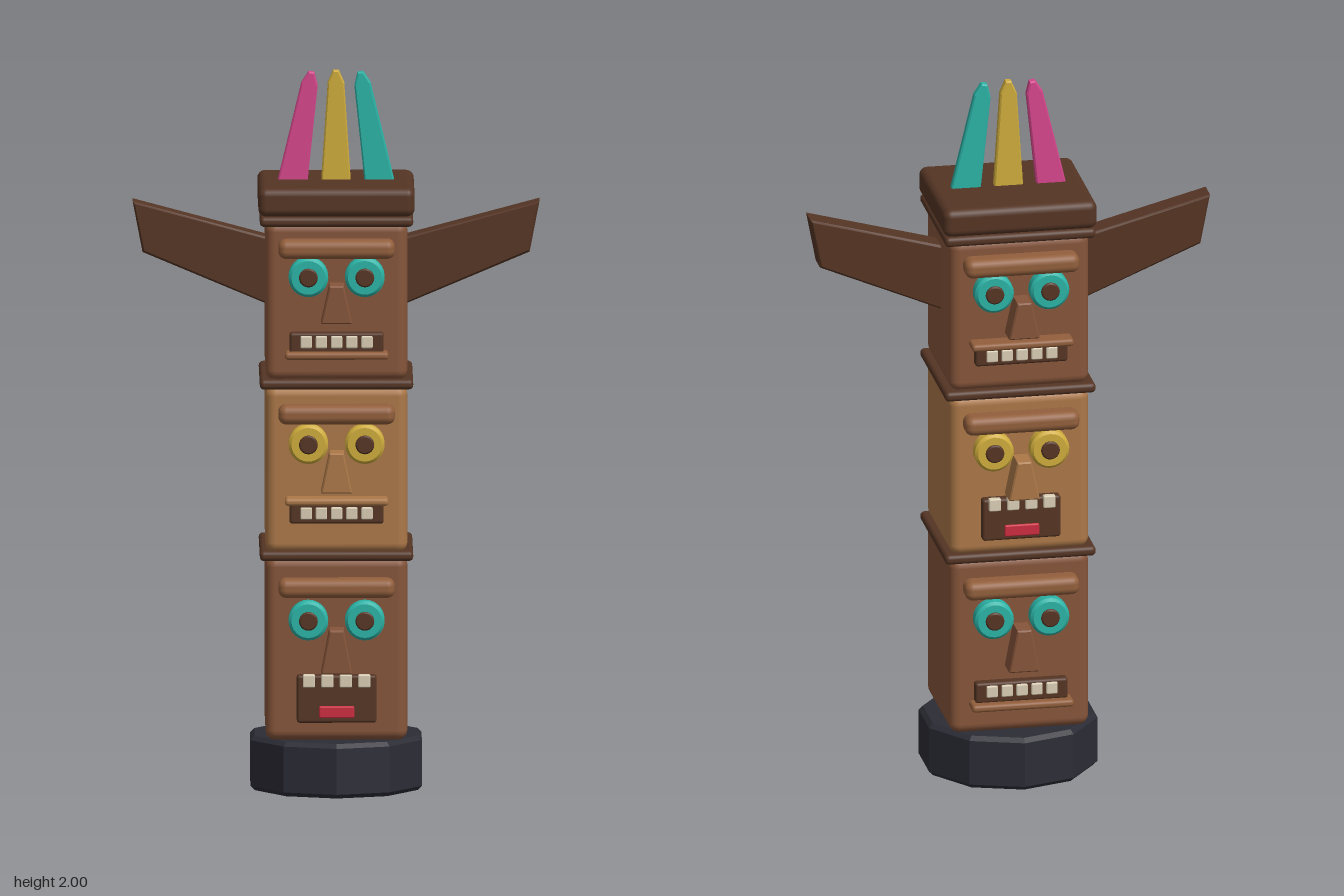
import * as THREE from 'three';
import { RoundedBoxGeometry } from 'three/addons/geometries/RoundedBoxGeometry.js';

const mat = (name, color) => {
  const m = new THREE.MeshStandardMaterial({ color });
  m.name = name;
  return m;
};

export function createModel() {
  const M = {
    wood: mat('brown wood', 0x86553a),
    light: mat('light wood', 0xac7848),
    brow: mat('brow wood', 0x925f3c),
    dark: mat('dark wood', 0x553524),
    stone: mat('dark stone', 0x2c2c36),
    teal: mat('teal', 0x2bb3a6),
    yellow: mat('yellow', 0xcfac3c),
    pink: mat('pink', 0xd6468c),
    ivory: mat('ivory', 0xd9cdb4),
    red: mat('red', 0xcc2c40),
  };
  const model = new THREE.Group();
  model.name = 'carvedPole';

  const add = (parent, name, geo, material, x = 0, y = 0, z = 0) => {
    const mesh = new THREE.Mesh(geo, material);
    mesh.name = name;
    mesh.position.set(x, y, z);
    parent.add(mesh);
    return mesh;
  };
  const rbox = (w, h, d, r) => new RoundedBoxGeometry(w, h, d, 3, r);

  // Outline extruded to the given thickness, centred on z, with a small bevel
  const plate = (points, thickness, bevel) => {
    const shape = new THREE.Shape(points.map(([x, y]) => new THREE.Vector2(x, y)));
    const geo = new THREE.ExtrudeGeometry(shape, {
      depth: thickness - 2 * bevel, bevelEnabled: true, bevelThickness: bevel,
      bevelSize: bevel, bevelOffset: -bevel, bevelSegments: 1,
    });
    return geo.translate(0, 0, bevel - thickness / 2);
  };

  // Disc with a bevelled rim, facing +z, back at z = 0
  const disc = (r, depth, bevel) => {
    const pts = [[r, 0], [r, depth - bevel], [r, depth - bevel], [r - bevel, depth], [r - bevel, depth], [0, depth]];
    return new THREE.LatheGeometry(pts.map(([x, y]) => new THREE.Vector2(x, y)), 24).rotateX(Math.PI / 2);
  };

  // Ten-sided stone base with bevelled rims
  const basePts = [[0, 0], [0.237, 0], [0.249, 0.012], [0.249, 0.14], [0.237, 0.152], [0, 0.152]];
  const baseGeo = new THREE.LatheGeometry(basePts.map(([x, y]) => new THREE.Vector2(x, y)), 10).toNonIndexed();
  baseGeo.computeVertexNormals();
  add(model, 'base', baseGeo, M.stone);

  // Three kinds of mouth, y measured from the block centre
  const teethRow = (g, n, step, w, h, y, z) => {
    for (let i = 0; i < n; i++) {
      add(g, 'tooth', rbox(w, h, 0.02, 0.004), M.ivory, (i - (n - 1) / 2) * step, y, z);
    }
  };
  const mouths = {
    lipBelow(g, h, lip) {
      add(g, 'mouth', rbox(0.26, 0.06, 0.05, 0.008), M.dark, 0, -0.255 * h, 0.18);
      teethRow(g, 5, 0.042, 0.032, 0.034, -0.245 * h, 0.202);
      add(g, 'lip', rbox(0.286, 0.021, 0.07, 0.009), lip, 0, -0.328 * h, 0.194);
    },
    lipAbove(g, h, lip) {
      add(g, 'mouth', rbox(0.26, 0.06, 0.05, 0.008), M.dark, 0, -0.25 * h, 0.18);
      teethRow(g, 5, 0.042, 0.032, 0.034, -0.25 * h, 0.202);
      add(g, 'lip', rbox(0.286, 0.021, 0.07, 0.009), lip, 0, -0.178 * h, 0.194);
    },
    open(g, h) {
      add(g, 'mouth', rbox(0.22, 0.26 * h, 0.05, 0.008), M.dark, 0, -0.265 * h, 0.18);
      teethRow(g, 4, 0.051, 0.034, 0.036, -0.165 * h, 0.205);
      add(g, 'tongue', rbox(0.098, 0.034, 0.02, 0.005), M.red, 0, -0.335 * h, 0.2);
    },
  };

  // One face, looking along +z
  const makeFace = (h, wood, eyeMat, mouth) => {
    const g = new THREE.Group();
    add(g, 'brow', rbox(0.322, 0.054, 0.07, 0.022), wood === M.light ? M.light : M.brow, 0, 0.34 * h, 0.195);
    if (wood === M.light) g.children[0].material = M.brow;
    for (const s of [-1, 1]) {
      add(g, 'eye', disc(0.055, 0.046, 0.008), eyeMat, s * 0.078, 0.163 * h, 0.17);
      add(g, 'pupil', disc(0.026, 0.054, 0.004), M.dark, s * 0.078, 0.163 * h, 0.17);
    }
    const top = 0.12 * h, bottom = -0.118 * h;
    add(g, 'nose', plate([[-0.043, bottom], [0.043, bottom], [0.02, top], [-0.02, top]], 0.09, 0.004),
      wood, 0, 0, 0.204);
    mouths[mouth](g, h, wood === M.light ? M.light : M.brow);
    return g;
  };

  // Stacked blocks, each with a front and a back face
  const blocks = [
    ['lower', 0.152, 0.665, M.wood, M.teal, 'open', 'lipBelow'],
    ['middle', 0.675, 1.142, M.light, M.yellow, 'lipAbove', 'open'],
    ['upper', 1.157, 1.6, M.wood, M.teal, 'lipBelow', 'lipAbove'],
  ];
  for (const [name, y0, y1, wood, eyeMat, frontMouth, backMouth] of blocks) {
    const h = y1 - y0;
    const block = new THREE.Group();
    block.name = name + 'Block';
    block.position.y = (y0 + y1) / 2;
    add(block, name + 'Body', rbox(0.392, h, 0.356, 0.028), wood);
    const front = makeFace(h, wood, eyeMat, frontMouth);
    front.name = name + 'FrontFace';
    const back = makeFace(h, wood, eyeMat, backMouth);
    back.name = name + 'BackFace';
    back.rotation.y = Math.PI;
    block.add(front, back);
    model.add(block);
  }

  // Thin bands between the blocks and the cap on top
  for (const y of [0.669, 1.148, 1.602]) {
    add(model, 'band', rbox(0.424, 0.028, 0.384, 0.012), M.dark, 0, y);
  }
  add(model, 'cap', rbox(0.432, 0.08, 0.39, 0.022), M.dark, 0, 1.656);

  // Wings
  for (const s of [-1, 1]) {
    const outline = [[0.17, 1.343], [0.535, 1.497], [0.562, 1.638], [0.17, 1.533]];
    add(model, s > 0 ? 'leftWing' : 'rightWing', plate(outline.map(([x, y]) => [s * x, y]), 0.076, 0.006), M.dark);
  }

  // Feathers leaning inward over the cap
  const feather = [[-0.042, -0.02], [0.042, -0.02], [0.023, 0.27], [0.008, 0.305], [-0.008, 0.305], [-0.023, 0.27]];
  [['pinkFeather', M.pink, -0.119, -0.17], ['yellowFeather', M.yellow, 0, 0], ['tealFeather', M.teal, 0.119, 0.17]]
    .forEach(([name, material, x, tilt]) => {
      add(model, name, plate(feather, 0.026, 0.004), material, x, 1.695).rotation.z = tilt;
    });

  return model;
}
